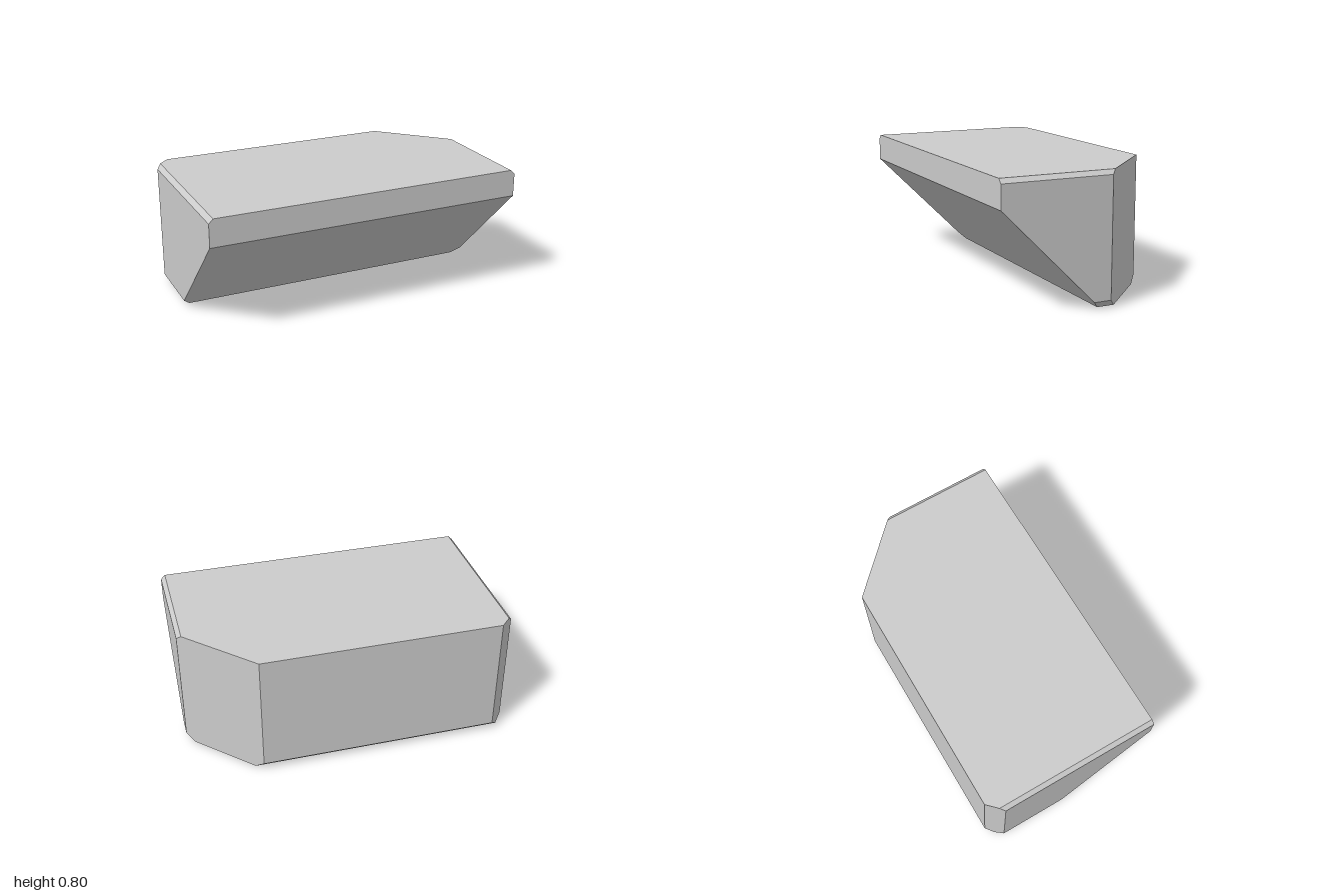
import * as THREE from 'three';

// Horizontal outline, counter-clockwise from above:
// half width w, back edge zb, front edge zf, with two cut back corners
function outline({ y, w, zb, zf }) {
  return [
    [-w, zf], [w, zf],
    [w, w - 1.14], [zb + 1.14, zb],      // large cut, left back
    [-1.465 - zb, zb], [-w, w - 1.465],  // small cut, right back
  ].map(([x, z]) => new THREE.Vector3(x, y, z));
}

// Faceted solid through stacked outlines, capped at both ends
function loft(rings) {
  const points = [];
  const tri = (a, b, c) => {
    const area = b.clone().sub(a).cross(c.clone().sub(a)).length();
    if (area > 1e-6) points.push(a, b, c);
  };
  const n = rings[0].length;
  for (let k = 0; k < rings.length - 1; k++) {
    const lo = rings[k], hi = rings[k + 1];
    for (let i = 0; i < n; i++) {
      const j = (i + 1) % n;
      tri(lo[i], lo[j], hi[j]);
      tri(lo[i], hi[j], hi[i]);
    }
  }
  const bottom = rings[0], top = rings[rings.length - 1];
  for (let i = 1; i < n - 1; i++) {
    tri(bottom[0], bottom[i + 1], bottom[i]);
    tri(top[0], top[i], top[i + 1]);
  }
  const geometry = new THREE.BufferGeometry().setFromPoints(points);
  geometry.computeVertexNormals();
  return geometry;
}

export function createModel() {
  const group = new THREE.Group();
  group.name = 'bevelledBlock';

  // Bottom bevel, sloping underside, upright front lip, top side bevel
  const levels = [
    { y: 0, w: 0.955, zb: -0.51, zf: -0.075 },
    { y: 0.045, w: 1, zb: -0.555, zf: -0.03 },
    { y: 0.63, w: 1, zb: -0.555, zf: 0.555 },
    { y: 0.775, w: 1, zb: -0.555, zf: 0.555 },
    { y: 0.802, w: 0.973, zb: -0.555, zf: 0.555 },
  ];
  const body = new THREE.Mesh(
    loft(levels.map(outline)),
    new THREE.MeshStandardMaterial({ color: 0xcccccc, flatShading: true })
  );
  body.name = 'body';
  group.add(body);
  return group;
}
